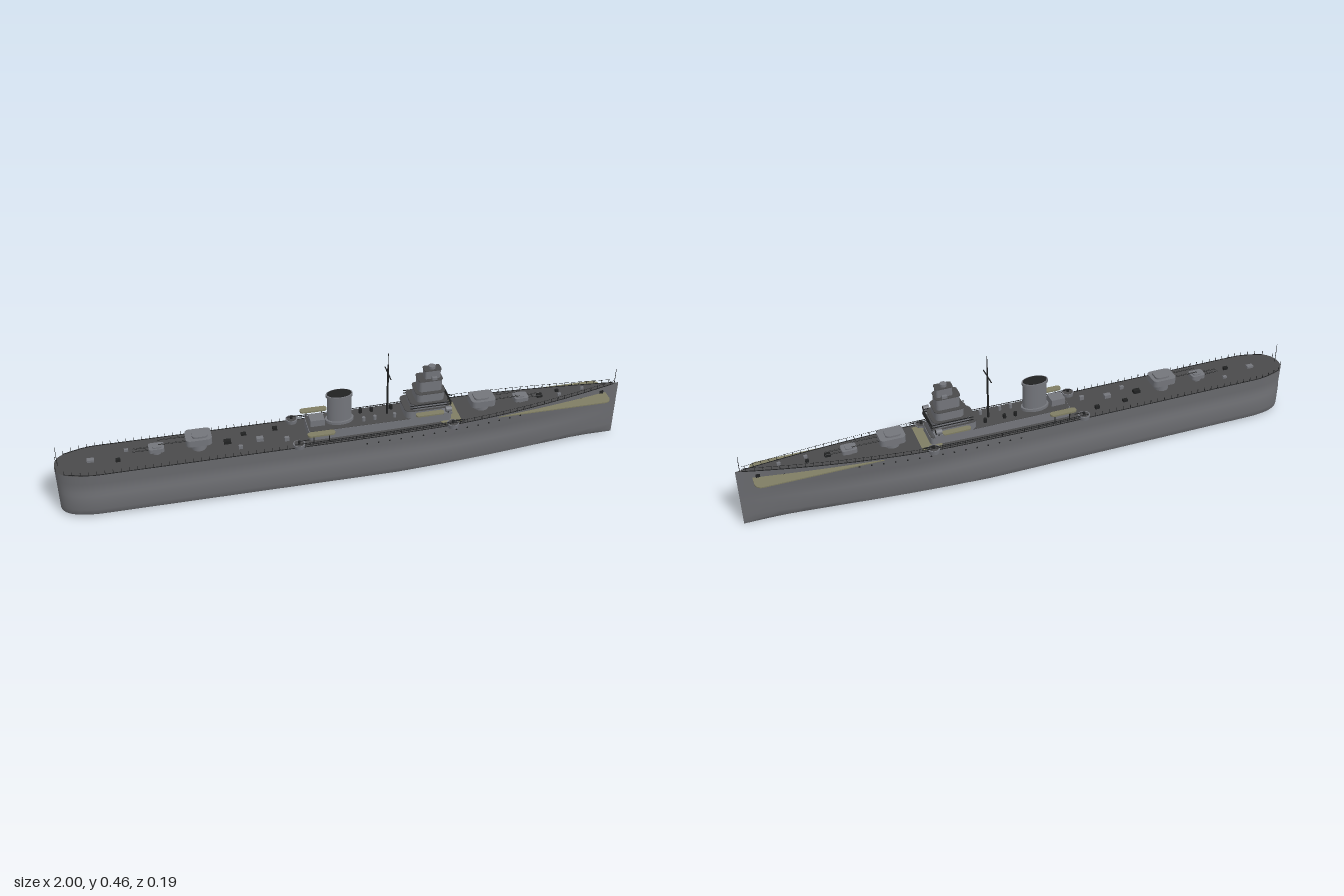
import * as THREE from 'three';
import { mergeGeometries, toCreasedNormals } from 'three/addons/utils/BufferGeometryUtils.js';

const mat = (name, color, side = THREE.FrontSide) => {
  const m = new THREE.MeshStandardMaterial({ color, side });
  m.name = name;
  return m;
};

// Hull lines: half widths and deck height along the length
const sternEnd = x => {
  const s = Math.min(1, Math.max(0, (-0.84 - x) / 0.16));
  return Math.max(0.02, Math.pow(1 - Math.pow(s, 2.5), 1 / 2.5));
};
const taper = (x, start, power) => 1 - Math.pow(Math.max(0, (x - start) / (1 - start)), power);
const deckHalf = x => Math.max(0.0006, 0.083 * sternEnd(x) * taper(x, 0.3, 1.7));
const waterHalf = x => Math.max(0.0005, 0.085 * sternEnd(x) * taper(x, 0.22, 1.5));
const keelHalf = x => Math.max(0.0004, 0.078 * sternEnd(x) * taper(x, 0.15, 1.25));
const deckY = x => 0.178 + 0.038 * Math.pow(Math.max(0, (x + 0.1) / 1.1), 1.8);

function section(x) {
  const b = deckHalf(x), w = waterHalf(x), k = keelHalf(x);
  const half = [[k * 0.55, 0.005], [k, 0.012], [(k + w) / 2 + 0.1 * (w - k), 0.018], [w, 0.036], [w, 0.093],
    [Math.min(w * 0.925, b), 0.106], [b * 0.5 + Math.min(w * 0.925, b) * 0.5, 0.142], [b, deckY(x)]];
  return [...half.slice().reverse().map(([z, y]) => [-z, y]), [0, 0], ...half];
}

// Skin a list of x stations with cross-sections
function loft(xs, ring) {
  const pos = [], idx = [], n = ring(xs[0]).length;
  xs.forEach((x, i) => ring(x).forEach(([z, y], j) => {
    pos.push(x, y, z);
    if (i < xs.length - 1 && j < n - 1) {
      const a = i * n + j, b = a + n;
      idx.push(a, b, b + 1, a, b + 1, a + 1);
    }
  }));
  const g = new THREE.BufferGeometry();
  g.setAttribute('position', new THREE.Float32BufferAttribute(pos, 3));
  g.setIndex(idx);
  return toCreasedNormals(g, 0.6);
}

export function createModel() {
  const root = new THREE.Group();
  const ship = new THREE.Group();
  ship.name = 'warship';
  ship.position.z = -0.005;
  root.add(ship);

  const hullGrey = mat('hull grey', 0x6a6b6f, THREE.DoubleSide);
  const grey = mat('superstructure grey', 0x73757b);
  const deckGrey = mat('deck dark grey', 0x4a4a4b, THREE.DoubleSide);
  const tan = mat('olive tan', 0x7f7d63);
  const black = mat('black fittings', 0x202122);

  const add = (name, geo, m, x = 0, y = 0, z = 0, parent = ship) => {
    const mesh = new THREE.Mesh(geo, m);
    mesh.name = name;
    mesh.position.set(x, y, z);
    parent.add(mesh);
    return mesh;
  };
  const box = (name, m, x0, x1, y0, y1, hz, z = 0, parent = ship) =>
    add(name, new THREE.BoxGeometry(x1 - x0, y1 - y0, hz * 2), m, (x0 + x1) / 2, (y0 + y1) / 2, z, parent);
  const cyl = (name, m, r0, r1, h, x, y, z = 0, parent = ship, sides = 20) =>
    add(name, new THREE.CylinderGeometry(r1, r0, h, sides), m, x, y + h / 2, z, parent);
  // Upright prism with a rounded plan
  const slab = (name, m, x0, x1, y0, y1, hz, r, z = 0, parent = ship) => {
    const s = new THREE.Shape();
    s.moveTo(x0 + r, -hz).lineTo(x1 - r, -hz).absarc(x1 - r, -hz + r, r, -Math.PI / 2, 0)
      .lineTo(x1, hz - r).absarc(x1 - r, hz - r, r, 0, Math.PI / 2)
      .lineTo(x0 + r, hz).absarc(x0 + r, hz - r, r, Math.PI / 2, Math.PI)
      .lineTo(x0, -hz + r).absarc(x0 + r, -hz + r, r, Math.PI, Math.PI * 1.5);
    const g = new THREE.ExtrudeGeometry(s, { depth: y1 - y0, bevelEnabled: false, curveSegments: 6 });
    return add(name, g.rotateX(-Math.PI / 2), m, 0, y0, z, parent);
  };

  // Hull and deck
  const xs = [];
  for (let i = 0; i <= 14; i++) xs.push(-0.84 - 0.16 * Math.cos(i / 14 * Math.PI / 2));
  for (let i = 1; i <= 46; i++) xs.push(-0.84 + 1.84 * i / 46);
  add('hull', loft(xs, section), hullGrey);
  add('deck', loft(xs, x => [[deckHalf(x), deckY(x)], [-deckHalf(x), deckY(x)]]), deckGrey);
  slab('foredeckPlate', tan, 0.32, 0.95, 0.183, 0.187, 0.07, 0.025);

  // Railings: posts all round, wires, heavier amidships
  const posts = [];
  for (let x = -0.995; x < 0.99; x += 0.0265) for (const s of [-1, 1]) {
    posts.push(new THREE.BoxGeometry(0.0016, 0.015, 0.0016).translate(x, deckY(x) + 0.0075, s * deckHalf(x) * 0.98));
  }
  add('railPosts', mergeGeometries(posts), black);
  const rail = (x0, x1, h, r, s) => {
    const pts = [];
    for (let i = 0; i <= 24; i++) {
      const x = x0 + (x1 - x0) * i / 24;
      pts.push(new THREE.Vector3(x, deckY(x) + h, s * deckHalf(x) * 0.99));
    }
    add('rail', new THREE.TubeGeometry(new THREE.CatmullRomCurve3(pts), 60, r, 4), black);
  };
  for (const s of [-1, 1]) {
    rail(-0.97, 0.98, 0.001, 0.0018, s);
    rail(-0.2, 0.4, 0.009, 0.0016, s);
    rail(-0.2, 0.4, 0.015, 0.0016, s);
    rail(0.4, 0.98, 0.014, 0.0007, s);
  }

  // Portholes and anchor openings
  const holes = [];
  for (let x = 0.05; x < 0.86; x += 0.04) for (const s of [-1, 1]) {
    const f = (deckY(x) - 0.022 - 0.142) / (deckY(x) - 0.142), b = deckHalf(x);
    const m = (b + Math.min(waterHalf(x) * 0.925, b)) / 2;
    holes.push(new THREE.CylinderGeometry(0.003, 0.003, 0.003, 8).rotateX(Math.PI / 2)
      .translate(x, deckY(x) - 0.022, s * (m + (b - m) * f)));
  }
  add('portholes', mergeGeometries(holes), black);
  for (const s of [-1, 1]) box('anchor', black, 0.925, 0.939, 0.181, 0.199, 0.003, s * 0.0125);

  // Deckhouse
  slab('deckhouse', grey, -0.145, 0.36, 0.176, 0.212, 0.05, 0.012);
  slab('deckhouseRoof', deckGrey, -0.143, 0.358, 0.212, 0.214, 0.049, 0.012);
  box('aftHouse', grey, -0.135, -0.085, 0.214, 0.238, 0.022);

  // Funnel with dark cap and mouth
  const oval = (name, m, rx, rz, y, h) => cyl(name, m, 1, 1, h, -0.03, y, 0, ship, 28).scale.set(rx, 1, rz);
  oval('funnelBase', grey, 0.05, 0.031, 0.21, 0.014);
  oval('funnel', grey, 0.043, 0.025, 0.21, 0.108);
  oval('funnelCap', grey, 0.047, 0.028, 0.314, 0.009);
  oval('funnelMouth', black, 0.042, 0.024, 0.323, 0.002);

  // Mast with yard
  cyl('mast', black, 0.004, 0.003, 0.205, 0.14, 0.21, 0, ship, 8);
  cyl('topmast', black, 0.0015, 0.001, 0.046, 0.14, 0.414, 0, ship, 6);
  box('yard', black, 0.1385, 0.1415, 0.379, 0.382, 0.04);

  // Stepped bridge tower: x0, x1, y0, y1, half width
  const tiers = [[0.195, 0.352, 0.21, 0.245, 0.05], [0.215, 0.345, 0.245, 0.268, 0.046], [0.235, 0.335, 0.268, 0.302, 0.039],
    [0.245, 0.328, 0.302, 0.346, 0.027], [0.267, 0.324, 0.346, 0.38, 0.016]];
  for (const [x0, x1, y0, y1, hz] of tiers) {
    slab('bridgeTier', grey, x0, x1, y0, y1, hz, hz * 0.45);
    slab('bridgeTierEdge', deckGrey, x0 - 0.002, x1 + 0.002, y1 - 0.002, y1 + 0.0005, hz + 0.002, hz * 0.45);
  }
  cyl('director', grey, 0.012, 0.012, 0.01, 0.295, 0.38);
  box('rangefinder', grey, 0.288, 0.302, 0.383, 0.389, 0.005);
  for (const y of [0.254, 0.264]) {
    box('bridgeRail', black, 0.353, 0.356, y, y + 0.0025, 0.05);
    for (const s of [-1, 1]) box('bridgeRail', black, 0.21, 0.356, y, y + 0.0025, 0.0012, s * 0.05);
  }
  for (let i = -4; i <= 4; i++) box('bridgeRailPost', black, 0.3535, 0.3555, 0.244, 0.266, 0.001, i * 0.012);

  for (const s of [-1, 1]) {
    // Boat platforms and boats
    slab('foreBoat', tan, 0.225, 0.325, 0.236, 0.241, 0.011, 0.01, s * 0.068);
    slab('aftBoat', tan, -0.155, -0.06, 0.215, 0.221, 0.012, 0.011, s * 0.072);
    for (const x of [-0.135, -0.08]) box('boatCradle', black, x, x + 0.003, 0.178, 0.216, 0.0015, s * 0.068);
    // Wing platform and searchlight
    box('bridgeWing', grey, 0.322, 0.352, 0.231, 0.239, 0.014, s * 0.062);
    cyl('lightPedestal', black, 0.003, 0.003, 0.008, 0.338, 0.238, s * 0.073, ship, 8);
    cyl('searchlight', grey, 0.01, 0.01, 0.02, 0.338, 0.243, s * 0.073).rotation.z = -Math.PI / 2;
    cyl('searchlightGlass', black, 0.008, 0.008, 0.001, 0.3485, 0.2525, s * 0.073).rotation.z = -Math.PI / 2;
    // Side gun sponsons
    for (const x of [-0.185, 0.358]) {
      cyl('sponson', grey, 0.019, 0.021, 0.015, x, 0.176, s * 0.074);
      cyl('sponsonFloor', deckGrey, 0.017, 0.017, 0.001, x, 0.191, s * 0.074);
      cyl('sponsonGun', black, 0.005, 0.004, 0.01, x, 0.191, s * 0.074, ship, 8);
      box('sponsonBarrel', black, x, x + 0.035, 0.199, 0.201, 0.001, s * 0.074);
    }
    box('bridgeTowerSight', grey, 0.29, 0.308, 0.346, 0.356, 0.005, s * 0.023);
  }

  // Gun turrets; dir is the way the barrels point
  const turret = (name, x, y, size, dir, high) => {
    const g = new THREE.Group();
    g.name = name;
    g.position.set(x, y, 0);
    g.rotation.y = dir < 0 ? Math.PI : 0;
    ship.add(g);
    cyl('barbette', grey, size * 0.6, size * 0.6, high + 0.012, 0, -0.012, 0, g);
    slab('gunhouse', grey, -size, size, high, high + size * 0.55, size * 0.8, size * 0.35, 0, g);
    slab('gunhouseRoof', grey, -size * 0.7, size * 0.5, high + size * 0.55, high + size * 0.7, size * 0.55, size * 0.3, 0, g);
    for (const s of [-1, 1]) {
      cyl('barrel', black, 0.0025, 0.0016, size * 2.2, size * 2, high + size * 0.32 - size * 1.1, s * size * 0.3, g, 8)
        .rotation.z = -Math.PI / 2;
    }
  };
  turret('aftMainTurret', -0.517, 0.178, 0.044, -1, 0.027);
  turret('foreMainTurret', 0.483, 0.19, 0.044, 1, 0.02);
  turret('aftSmallTurret', -0.66, 0.178, 0.026, -1, 0.012);
  turret('foreSmallTurret', 0.628, 0.196, 0.026, 1, 0.006);

  // Deck fittings: x, z, half size, height
  const fittings = [[-0.88, 0, 0.012, 0.008], [-0.79, 0.02, 0.008, 0.01], [-0.76, -0.03, 0.007, 0.008], [-0.42, 0, 0.012, 0.012],
    [-0.38, 0.04, 0.007, 0.012], [-0.36, -0.035, 0.009, 0.008], [-0.31, 0.01, 0.012, 0.013], [-0.25, -0.04, 0.008, 0.012],
    [-0.22, 0.03, 0.008, 0.014], [0.7, 0, 0.01, 0.01], [0.77, 0.012, 0.006, 0.009], [0.77, -0.012, 0.006, 0.009], [0.86, 0, 0.006, 0.009]];
  fittings.forEach(([x, z, r, h], i) => box('deckFitting', i % 2 ? black : grey, x - r, x + r, deckY(x) - 0.002, deckY(x) + h, r * 0.7, z));
  for (const x of [0.05, 0.09, 0.16]) for (const s of [-1, 1]) {
    cyl('ventilator', s > 0 ? grey : black, 0.006, 0.006, 0.016, x, 0.213, s * 0.025, ship, 10);
  }

  // Flagstaffs
  cyl('jackstaff', black, 0.0012, 0.0008, 0.06, 0.985, 0.214, 0, ship, 6);
  cyl('ensignStaff', black, 0.0012, 0.0008, 0.075, -0.988, 0.177, 0, ship, 6);
  return root;
}
